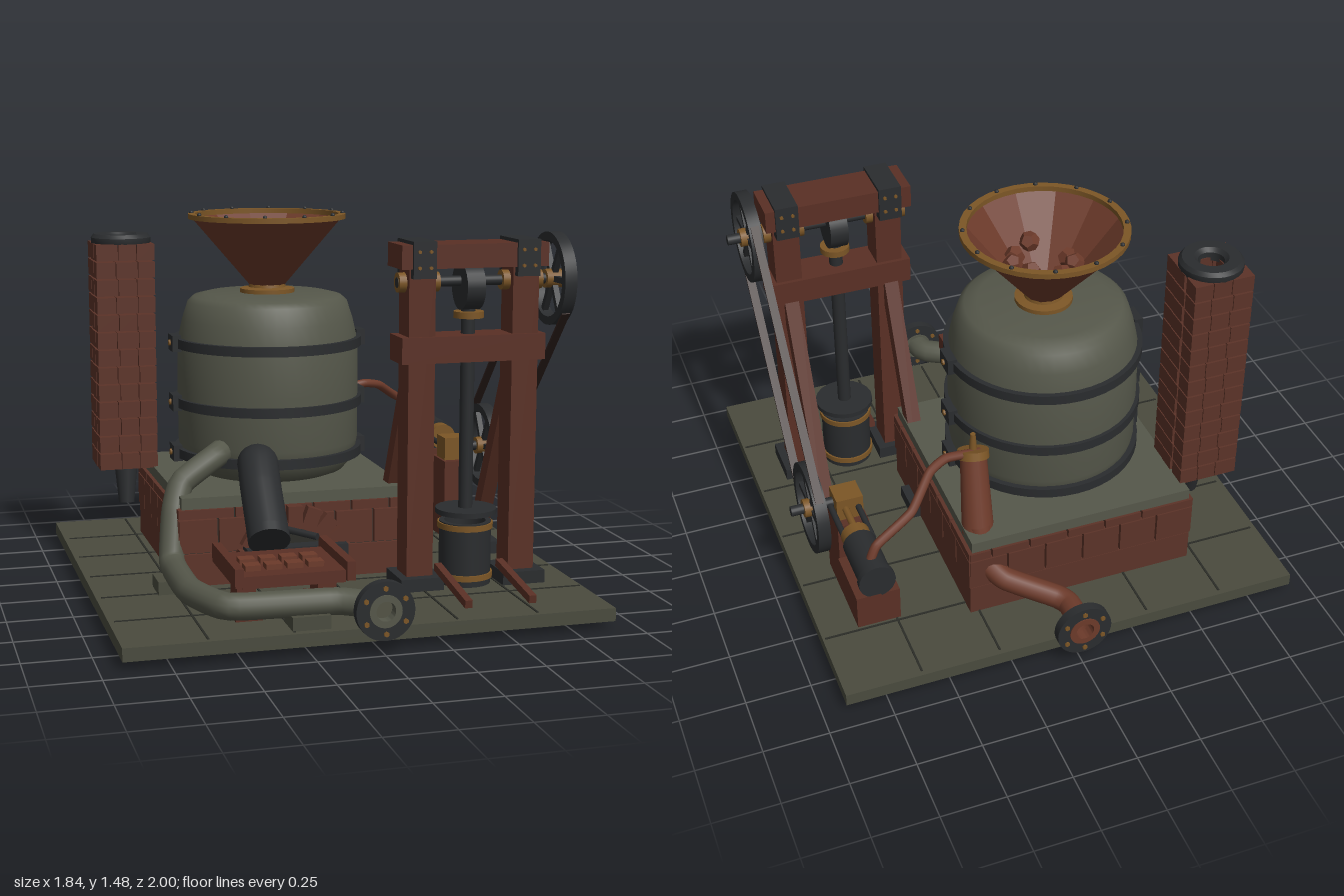
import * as THREE from 'three';
import { toCreasedNormals } from 'three/addons/utils/BufferGeometryUtils.js';

const M = {};
const paint = (name, hex, side = THREE.FrontSide) => {
  M[name] = new THREE.MeshStandardMaterial({ color: hex, side });
  M[name].name = name;
};
paint('stone', 0x4a4b3e);
paint('boilerGrey', 0x55574a);
paint('brick', 0x5c3328);
paint('wood', 0x5a3025);
paint('copper', 0x6c3a2a, THREE.DoubleSide);
paint('iron', 0x2a2c2e);
paint('brass', 0x7c5626);
paint('joint', 0x2b2c27);
paint('belt', 0x33231f);

const V = (a) => new THREE.Vector3(...a);
const UP = new THREE.Vector3(0, 1, 0);

export function createModel() {
  const root = new THREE.Group();
  root.name = 'oreSmelter';
  const add = (name, geo, mat, pos = [0, 0, 0], parent = root) => {
    const m = new THREE.Mesh(geo, M[mat]);
    m.name = name;
    m.position.set(...pos);
    parent.add(m);
    return m;
  };
  // box given by its min and max corners
  const box = (name, mat, x0, x1, y0, y1, z0, z1) =>
    add(name, new THREE.BoxGeometry(x1 - x0, y1 - y0, z1 - z0), mat, [(x0 + x1) / 2, (y0 + y1) / 2, (z0 + z1) / 2]);
  // rod between two points, with a radius at each end
  const rod = (name, mat, a, b, r0, r1 = r0, n = 20) => {
    const d = V(b).sub(V(a));
    const m = add(name, new THREE.CylinderGeometry(r1, r0, d.length(), n), mat, V(a).addScaledVector(d, 0.5).toArray());
    m.quaternion.setFromUnitVectors(UP, d.normalize());
    return m;
  };
  // square beam between two points lying in a plane of constant x
  const beam = (name, mat, a, b, w, t) => {
    const d = V(b).sub(V(a));
    const m = add(name, new THREE.BoxGeometry(w, d.length(), t), mat, V(a).addScaledVector(d, 0.5).toArray());
    m.rotation.x = Math.atan2(d.z, d.y);
    return m;
  };
  const tube = (name, mat, pts, r, n = 14) =>
    add(name, new THREE.TubeGeometry(new THREE.CatmullRomCurve3(pts.map(V), false, 'catmullrom', 0.25), 60, r, n), mat);
  const lathe = (pts, n = 40) =>
    toCreasedNormals(new THREE.LatheGeometry(pts.map((p) => new THREE.Vector2(...p)), n), 0.6);
  // flat ring around the y axis
  const ring = (r0, r1, h, n = 40) =>
    lathe([[r0, -h / 2], [r1, -h / 2], [r1, h / 2], [r0, h / 2], [r0, -h / 2]], n);

  // paved base
  box('base', 'stone', -0.92, 0.91, 0, 0.05, -0.92, 0.92);
  for (const p of [-0.615, -0.305, 0, 0.3, 0.61]) {
    box('pavingJoint', 'joint', p - 0.004, p + 0.004, 0.05, 0.053, -0.9, 0.9);
    box('pavingJoint', 'joint', -0.9, 0.9, 0.05, 0.053, p - 0.004, p + 0.004);
  }

  // brick plinth: recessed core, one solid course and two laid courses
  box('plinthCore', 'joint', -0.57, 0.32, 0.05, 0.35, -0.66, 0.22);
  box('plinthFoot', 'brick', -0.585, 0.335, 0.05, 0.175, -0.675, 0.235);
  const course = (y0, y1, shift) => {
    const n = 6, g = 0.004;
    for (let i = 0; i < n; i++) {
      const a = i / n, b = (i + 1) / n;
      const s = (v) => (v <= 0 || v >= 1 ? v : v + shift);
      const x0 = -0.59 + 0.93 * s(a) + g, x1 = -0.59 + 0.93 * s(b) - g;
      const z0 = -0.68 + 0.92 * s(a) + g, z1 = -0.68 + 0.92 * s(b) - g;
      for (const z of [-0.68, 0.18]) box('plinthBrick', 'brick', x0, x1, y0, y1, z, z + 0.06);
      for (const x of [-0.59, 0.28]) box('plinthBrick', 'brick', x, x + 0.06, y0, y1, z0, z1);
    }
  };
  course(0.182, 0.31, 0);
  course(0.315, 0.35, 0.07);
  box('plinthSlab', 'boilerGrey', -0.575, 0.325, 0.35, 0.395, -0.67, 0.225);

  // fire arch and ash box
  for (let i = 0; i < 9; i++) {
    const a = Math.PI * (i + 0.5) / 9;
    const m = add('archBrick', new THREE.BoxGeometry(0.09, 0.058, 0.07), 'brick',
      [-0.14 + 0.185 * Math.cos(a), 0.12 + 0.185 * Math.sin(a), 0.245]);
    m.rotation.z = a;
  }
  const mouth = add('fireMouth', new THREE.CylinderGeometry(0.15, 0.15, 0.02, 24), 'joint', [-0.14, 0.12, 0.24]);
  mouth.rotation.x = Math.PI / 2;
  box('ashBox', 'iron', -0.34, 0.06, 0.055, 0.2, 0.235, 0.315);

  // boiler with clamped hoops
  const bx = -0.125, bz = -0.233;
  add('boiler', lathe([[0, 0.395], [0.27, 0.395], [0.31, 0.41], [0.352, 0.46], [0.365, 0.53], [0.367, 0.75], [0.365, 0.93],
    [0.345, 1.02], [0.322, 1.09], [0.3, 1.11], [0.25, 1.122], [0, 1.125]], 48), 'boilerGrey', [bx, 0, bz]);
  for (const y of [0.485, 0.69, 0.93]) {
    add('boilerHoop', ring(0.35, 0.381, 0.038, 48), 'iron', [bx, y, bz]);
    for (const s of [-1, 1]) {
      const cx = bx + s * 0.382;
      box('hoopClamp', 'iron', cx - 0.018, cx + 0.018, y - 0.032, y + 0.032, bz - 0.045, bz + 0.045);
      rod('clampBolt', 'brass', [cx, y, bz], [cx + s * 0.026, y, bz], 0.012, 0.012, 8);
    }
  }

  // faceted hopper with brass rim, neck and ore
  const cone = new THREE.CylinderGeometry(0.31, 0.06, 0.29, 12, 1, true).toNonIndexed();
  cone.computeVertexNormals();
  add('hopper', cone, 'copper', [bx, 1.285, bz]);
  add('hopperRim', ring(0.288, 0.316, 0.02, 36), 'brass', [bx, 1.43, bz]);
  add('hopperNeck', lathe([[0, 1.115], [0.11, 1.115], [0.11, 1.14], [0.075, 1.145], [0.07, 1.17], [0, 1.17]], 28), 'brass', [bx, 0, bz]);
  for (let i = 0; i < 12; i++) {
    const a = (i + 0.5) * Math.PI / 6;
    add('rimRivet', new THREE.SphereGeometry(0.009, 8, 6), 'iron', [bx + 0.303 * Math.cos(a), 1.442, bz + 0.303 * Math.sin(a)]);
  }
  [[0.1, -0.12], [-0.02, -0.12], [-0.1, -0.05], [-0.1, 0.01], [0.125, 0], [0.01, 0.125], [0.09, 0.07]].forEach(([x, z], i) => {
    const g = new THREE.DodecahedronGeometry(0.04, 0);
    add('oreChunk', g, 'copper', [bx + x, 1.14 + 1.16 * Math.hypot(x, z) + 0.02, bz + z]).rotation.set(i, i * 2, i * 0.7);
  });

  // brick chimney, open courses
  const cx = -0.675, cz = -0.503;
  for (let r = 0; r < 13; r++) {
    const y0 = 0.39 + r * 0.0715, y1 = y0 + 0.065, t = 0.075;
    const cuts = r % 2 ? [-0.12, -0.04, 0.05, 0.12] : [-0.12, -0.03, 0.045, 0.12];
    for (let i = 0; i < 3; i++) {
      const a = cuts[i] + 0.0015, b = cuts[i + 1] - 0.0015;
      for (const s of [-1, 1]) {
        const n = s < 0 ? -0.12 : 0.12 - t;
        box('chimneyBrick', 'brick', cx + a, cx + b, y0, y1, cz + n, cz + n + t);
        if (i === 1) box('chimneyBrick', 'brick', cx + n, cx + n + t, y0, y1, cz + a, cz + b);
      }
    }
  }
  add('chimneyCap', lathe([[0.05, 1.3], [0.115, 1.3], [0.122, 1.315], [0.122, 1.335], [0.11, 1.35], [0.065, 1.35], [0.05, 1.335], [0.05, 1.3]], 24), 'iron', [cx, 0, cz]);
  rod('chimneyFlue', 'iron', [cx, 0.23, cz + 0.03], [cx + 0.005, 0.42, cz], 0.032, 0.052);

  // pipes ending in bolted flanges
  const flange = (x, z, s) => {
    const g = new THREE.Group();
    g.name = 'flange';
    g.position.set(x, 0.13, z);
    g.rotation.x = s * Math.PI / 2;
    root.add(g);
    add('flangeDisc', ring(0.038, 0.108, 0.036), 'iron', [0, 0, 0], g);
    add('pipeLip', ring(0.036, 0.06, 0.044), s > 0 ? 'boilerGrey' : 'copper', [0, 0, 0], g);
    for (let i = 0; i < 6; i++) {
      const a = i * Math.PI / 3 + 0.5;
      add('flangeBolt', new THREE.CylinderGeometry(0.01, 0.01, 0.05, 6), 'brass', [0.083 * Math.cos(a), 0, 0.083 * Math.sin(a)], g);
    }
  };
  flange(0, 0.975, 1);
  flange(-0.005, -0.975, -1);
  tube('steamPipe', 'boilerGrey', [[-0.36, 0.53, 0], [-0.42, 0.51, 0.06], [-0.55, 0.43, 0.1], [-0.59, 0.33, 0.15], [-0.615, 0.16, 0.22],
    [-0.615, 0.135, 0.3], [-0.615, 0.135, 0.58], [-0.52, 0.135, 0.81], [-0.14, 0.135, 0.84], [-0.02, 0.13, 0.91], [0, 0.13, 0.975]], 0.05);
  box('pipeSaddle', 'stone', -0.685, -0.545, 0.05, 0.1, 0.19, 0.32);
  box('pipeSaddle', 'stone', -0.31, -0.17, 0.05, 0.1, 0.77, 0.89);
  tube('drainPipe', 'copper', [[-0.005, 0.13, -0.975], [-0.005, 0.13, -0.84], [0.03, 0.14, -0.79], [0.2, 0.2, -0.69], [0.26, 0.27, -0.63], [0.265, 0.4, -0.58]], 0.045);

  // valve stack and feed line
  rod('valveStack', 'copper', [0.265, 0.36, -0.57], [0.245, 0.67, -0.465], 0.062, 0.05);
  rod('valveCollar', 'brass', [0.247, 0.645, -0.475], [0.244, 0.675, -0.463], 0.06);
  rod('valveStem', 'brass', [0.245, 0.67, -0.465], [0.245, 0.75, -0.465], 0.016, 0.01, 10);
  tube('feedLine', 'copper', [[0.22, 0.66, -0.47], [0.36, 0.685, -0.49], [0.44, 0.67, -0.53], [0.55, 0.6, -0.64], [0.7, 0.53, -0.69], [0.74, 0.46, -0.71]], 0.018, 10);

  // pump engine on its blocks
  box('engineBlock', 'wood', 0.645, 0.81, 0.23, 0.37, -0.775, -0.54);
  box('bearingPost', 'wood', 0.64, 0.765, 0.05, 0.38, -0.385, -0.22);
  rod('engineCylinder', 'iron', [0.728, 0.43, -0.765], [0.728, 0.43, -0.55], 0.063);
  rod('engineCylinderLip', 'iron', [0.728, 0.43, -0.775], [0.728, 0.43, -0.75], 0.07);
  rod('cylinderHead', 'brass', [0.728, 0.43, -0.55], [0.728, 0.43, -0.495], 0.055);
  for (const x of [0.67, 0.77]) rod('guideRod', 'iron', [x, 0.43, -0.54], [x, 0.43, -0.31], 0.012, 0.012, 8);
  rod('pistonRod', 'brass', [0.72, 0.43, -0.5], [0.72, 0.43, -0.34], 0.014, 0.014, 8);
  box('crankBearing', 'brass', 0.65, 0.755, 0.38, 0.475, -0.35, -0.25);

  // flywheels, axles and belt
  const wheel = (y, z) => {
    const g = new THREE.Group();
    g.name = 'flywheel';
    g.position.set(0.836, y, z);
    g.rotation.z = -Math.PI / 2;
    root.add(g);
    add('wheelRim', ring(0.146, 0.178, 0.048), 'iron', [0, 0, 0], g);
    add('wheelHub', new THREE.CylinderGeometry(0.036, 0.036, 0.07, 16), 'brass', [0, 0, 0], g);
    for (let i = 0; i < 3; i++)
      add('wheelSpokes', new THREE.BoxGeometry(0.3, 0.022, 0.022), 'iron', [0, 0, 0], g).rotation.y = i * Math.PI / 3 + Math.PI / 6;
  };
  const top = [1.22, 0.43], low = [0.43, -0.29];
  wheel(...top);
  wheel(...low);
  rod('crankAxle', 'iron', [0.66, low[0], low[1]], [0.92, low[0], low[1]], 0.02);
  rod('camAxle', 'iron', [0.21, top[0], top[1]], [0.92, top[0], top[1]], 0.02);
  const len = Math.hypot(top[0] - low[0], top[1] - low[1]);
  const ny = -(top[1] - low[1]) / len * 0.178, nz = (top[0] - low[0]) / len * 0.178;
  for (const s of [-1, 1])
    beam('driveBelt', 'belt', [0.836, low[0] + s * ny, low[1] + s * nz], [0.836, top[0] + s * ny, top[1] + s * nz], 0.032, 0.009);

  // stamp frame
  for (const x of [0.292, 0.703]) {
    box('framePost', 'wood', x - 0.052, x + 0.052, 0.09, 1.3, 0.37, 0.49);
    box('postFoot', 'iron', x - 0.085, x + 0.085, 0.05, 0.1, 0.34, 0.53);
    box('braceFoot', 'iron', x - 0.078, x + 0.078, 0.05, 0.1, -0.075, 0.075);
    beam('frameBrace', 'wood', [x, 0.08, -0.005], [x, 0.92, 0.385], 0.056, 0.06);
    box('beamPlate', 'iron', x - 0.045, x + 0.045, 1.24, 1.378, 0.325, 0.52);
    for (const y of [1.28, 1.34]) for (const d of [-0.022, 0.022])
      rod('plateBolt', 'brass', [x + d, y, 0.318], [x + d, y, 0.527], 0.007, 0.007, 6);
    for (const d of [-0.066, 0.066])
      rod('axleBearing', 'brass', [x + d - 0.014, 1.22, 0.43], [x + d + 0.014, 1.22, 0.43], 0.038);
  }
  box('topBeam', 'wood', 0.205, 0.785, 1.275, 1.365, 0.335, 0.51);
  box('middleBeam', 'wood', 0.21, 0.78, 0.92, 1.02, 0.355, 0.505);

  // stamp, cam and mortar
  rod('cam', 'iron', [0.46, 1.2, 0.43], [0.532, 1.2, 0.43], 0.09);
  rod('stampStem', 'iron', [0.495, 0.33, 0.43], [0.495, 1.2, 0.43], 0.027);
  rod('tappet', 'brass', [0.497, 1.08, 0.43], [0.497, 1.105, 0.43], 0.058);
  rod('stampPlate', 'iron', [0.497, 0.325, 0.43], [0.497, 0.345, 0.43], 0.118);
  add('mortar', lathe([[0, 0.05], [0.1, 0.05], [0.1, 0.295], [0.08, 0.295], [0.08, 0.2], [0, 0.2]], 32), 'iron', [0.495, 0, 0.43]);
  for (const y of [0.085, 0.28]) add('mortarBand', ring(0.09, 0.107, 0.022), 'brass', [0.495, y, 0.43]);
  for (const x of [0.368, 0.618]) beam('skidRail', 'wood', [x, 0.13, 0.48], [x, 0.08, 0.83], 0.028, 0.03);

  // pouring spout with lever
  tube('pouringSpout', 'iron', [[-0.24, 0.48, 0.06], [-0.255, 0.49, 0.14], [-0.27, 0.42, 0.25], [-0.285, 0.28, 0.43]], 0.08, 20);
  rod('spoutEnd', 'iron', [-0.284, 0.29, 0.42], [-0.287, 0.265, 0.45], 0.08);
  rod('spoutLever', 'iron', [-0.22, 0.3, 0.41], [-0.12, 0.29, 0.52], 0.014, 0.014, 8);

  // casting table with ingots
  for (const x of [-0.485, -0.075]) box('tableRail', 'wood', x - 0.016, x + 0.016, 0.2, 0.27, 0.43, 0.82);
  box('tableTop', 'wood', -0.47, -0.09, 0.19, 0.235, 0.46, 0.8);
  for (const x of [-0.43, -0.13]) {
    box('tableLeg', 'wood', x - 0.035, x + 0.035, 0.09, 0.2, 0.58, 0.69);
    box('tableFoot', 'wood', x - 0.05, x + 0.05, 0.05, 0.1, 0.54, 0.73);
  }
  for (let i = 0; i < 4; i++) for (const z of [0.615, 0.705]) {
    const x = -0.415 + i * 0.078;
    box('ingot', 'copper', x - 0.029, x + 0.029, 0.23, 0.255, z - 0.026, z + 0.026);
  }
  return root;
}
